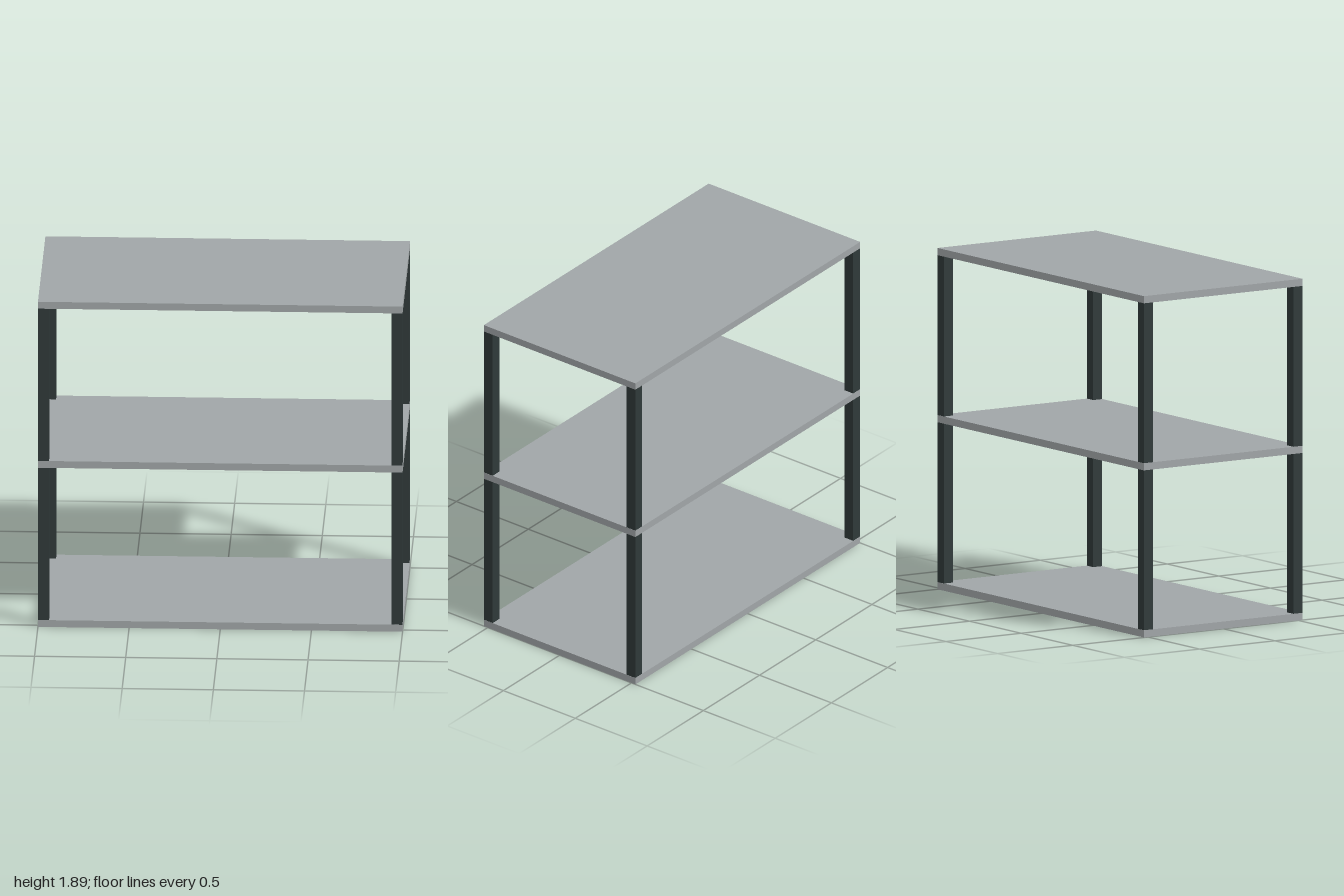
import * as THREE from 'three';

const WIDTH = 2, DEPTH = 1.054, HEIGHT = 1.895;
const SHELF = 0.04, POST = 0.06, INSET = 0.001;

export function createModel() {
  const shelfGrey = new THREE.MeshStandardMaterial({ color: 0xa0a5a7 });
  shelfGrey.name = 'shelfGrey';
  const postDark = new THREE.MeshStandardMaterial({ color: 0x2f3939 });
  postDark.name = 'postDark';

  const model = new THREE.Group();
  model.name = 'shelvingUnit';

  const addBox = (name, size, position, material) => {
    const mesh = new THREE.Mesh(new THREE.BoxGeometry(...size), material);
    mesh.name = name;
    mesh.position.set(...position);
    model.add(mesh);
  };

  // Three evenly spaced shelves
  ['bottomShelf', 'middleShelf', 'topShelf'].forEach((name, i) => {
    const y = SHELF / 2 + (i * (HEIGHT - SHELF)) / 2;
    addBox(name, [WIDTH, SHELF, DEPTH], [0, y, 0], shelfGrey);
  });

  // Full-height corner posts, a hair inside the shelf edges
  for (const [side, sx] of [['Left', 1], ['Right', -1]]) {
    for (const [end, sz] of [['front', 1], ['back', -1]]) {
      addBox(
        `${end}${side}Post`,
        [POST, HEIGHT - 2 * INSET, POST],
        [sx * (WIDTH / 2 - POST / 2 - INSET), HEIGHT / 2, sz * (DEPTH / 2 - POST / 2 - INSET)],
        postDark
      );
    }
  }

  return model;
}
